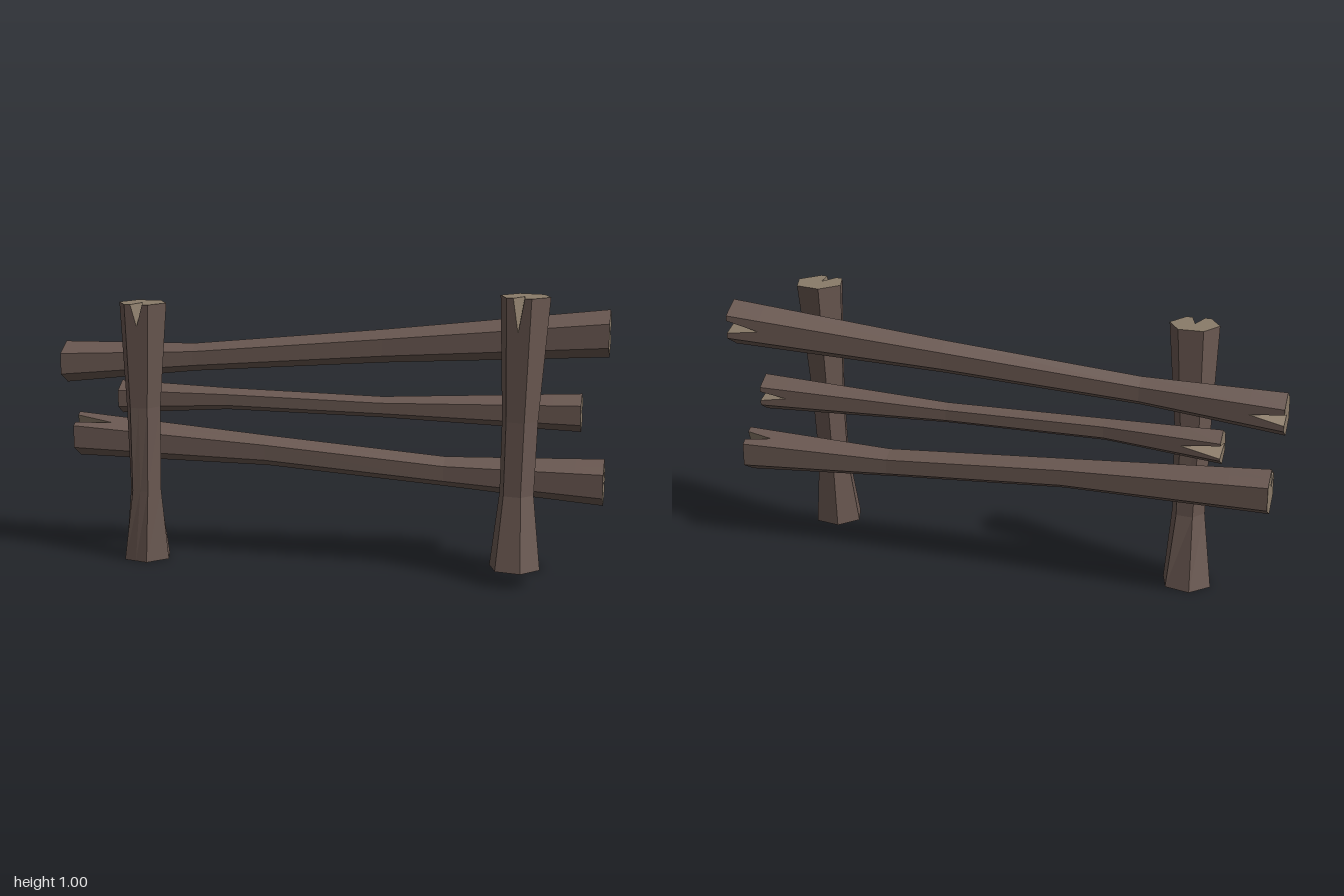
import * as THREE from 'three';

const bark = new THREE.MeshStandardMaterial({ color: 0x6a5851, flatShading: true });
bark.name = 'bark brown';
const cut = new THREE.MeshStandardMaterial({ color: 0x8a7b69, flatShading: true });
cut.name = 'cut wood tan';

const SIDES = 6;

// A hexagonal log with wedge-shaped splits in its ends.
// stations: [x, y, z, radius, phase]; axis: 'x' (rail) or 'y' (post)
// splits: { end: 'start' | 'finish', edge, width, reach, depth }
function makeLog(name, axis, stations, splits) {
  const lerp = (a, b, t) => a.map((v, i) => v + (b[i] - v) * t);
  const along = axis === 'x' ? 0 : 1;
  const rings = stations.slice();
  const last = stations.length - 1;
  // Extra rings where each split closes
  for (const s of splits) {
    const [a, b] = s.end === 'start' ? [stations[0], stations[1]] : [stations[last], stations[last - 1]];
    const ring = lerp(a, b, s.depth / Math.abs(a[along] - b[along]));
    if (s.end === 'start') rings.splice(1, 0, ring);
    else rings.splice(rings.length - 1, 0, ring);
  }
  const top = rings.length - 1;

  // Cross-section points, each marked when it starts a split wall
  const sections = rings.map(([x, y, z, r, phase], k) => {
    const place = (u, v) => axis === 'x'
      ? new THREE.Vector3(x, y + v, z + u) : new THREE.Vector3(x + u, y, z + v);
    const corner = (i) => {
      const t = phase + (i / SIDES) * Math.PI * 2;
      return new THREE.Vector2(Math.cos(t) * r, Math.sin(t) * r);
    };
    const points = [], walls = [];
    let tip = 0;
    const add = (p, wall = false) => { points.push(place(p.x, p.y)); walls.push(wall); };
    for (let i = 0; i < SIDES; i++) {
      const a = corner(i), b = corner(i + 1);
      add(a);
      const here = splits.filter((s) => s.edge === i);
      if (!here.length) continue;
      const open = here.find((s) => k === (s.end === 'start' ? 0 : top));
      const w = open ? open.width / 2 : 0;
      const middle = a.clone().lerp(b, 0.5);
      add(a.clone().lerp(b, 0.5 - w), true);
      if (open) tip = points.length;
      add(middle.clone().multiplyScalar(open ? 1 - open.reach : 1), true);
      add(a.clone().lerp(b, 0.5 + w));
    }
    return { points, walls, tip };
  });

  const barkFaces = [], cutFaces = [];
  const face = (list, a, b, c) => {
    const area = b.clone().sub(a).cross(c.clone().sub(a)).length();
    if (area > 1e-7) for (const p of [a, b, c]) list.push(p.x, p.y, p.z);
  };
  const n = sections[0].points.length;
  // Sides and split walls
  for (let k = 0; k < top; k++) {
    const p = sections[k].points, q = sections[k + 1].points;
    for (let i = 0; i < n; i++) {
      const j = (i + 1) % n;
      const list = sections[k].walls[i] ? cutFaces : barkFaces;
      face(list, p[i], q[i], p[j]);
      face(list, p[j], q[i], q[j]);
    }
  }
  // Sawn ends, fanned from the tip of the split
  for (const [k, flip] of [[0, false], [top, true]]) {
    const { points: p, tip } = sections[k];
    for (let i = 0; i < n; i++) {
      const j = (i + 1) % n;
      face(cutFaces, p[tip], p[flip ? j : i], p[flip ? i : j]);
    }
  }

  const geometry = new THREE.BufferGeometry();
  geometry.setAttribute('position', new THREE.Float32BufferAttribute([...barkFaces, ...cutFaces], 3));
  geometry.addGroup(0, barkFaces.length / 3, 0);
  geometry.addGroup(barkFaces.length / 3, cutFaces.length / 3, 1);
  geometry.computeVertexNormals();
  const mesh = new THREE.Mesh(geometry, [bark, cut]);
  mesh.name = name;
  return mesh;
}

export function createModel() {
  const model = new THREE.Group();
  model.name = 'fence';
  const P = Math.PI / 6;

  model.add(
    // Upright posts, pinched above the foot
    makeLog('rightPost', 'y', [
      [-0.672, 0.005, 0.017, 0.093, 0.25],
      [-0.663, 0.27, 0.045, 0.06, 0.1],
      [-0.664, 0.58, 0.05, 0.064, 0],
      [-0.653, 0.96, 0.067, 0.088, 0],
    ], [{ end: 'finish', edge: 1, width: 0.5, reach: 0.95, depth: 0.08 }]),
    makeLog('leftPost', 'y', [
      [0.698, 0.062, 0.08, 0.092, 0.2],
      [0.697, 0.32, 0.05, 0.062, 0.2],
      [0.702, 0.58, 0.037, 0.065, 0.2],
      [0.71, 1.01, 0.017, 0.09, 0.2],
    ], [{ end: 'finish', edge: 1, width: 0.45, reach: 0.85, depth: 0.12 }]),

    // Leaning rails behind the posts
    makeLog('topRail', 'x', [
      [-1, 0.715, -0.067, 0.077, P],
      [-0.5, 0.748, -0.065, 0.051, P],
      [0.2, 0.808, -0.083, 0.06, P],
      [0.995, 0.873, -0.105, 0.084, P],
    ], [
      { end: 'start', edge: 2, width: 0.5, reach: 0.9, depth: 0.12 },
      { end: 'finish', edge: 2, width: 0.55, reach: 0.9, depth: 0.12 },
    ]),
    makeLog('middleRail', 'x', [
      [-0.795, 0.585, -0.098, 0.062, P],
      [-0.38, 0.596, -0.075, 0.04, P],
      [0.2, 0.59, -0.06, 0.038, P],
      [0.908, 0.597, -0.057, 0.068, P],
    ], [
      { end: 'start', edge: 2, width: 0.75, reach: 1.7, depth: 0.14 },
      { end: 'finish', edge: 2, width: 0.5, reach: 0.9, depth: 0.1 },
    ]),
    makeLog('bottomRail', 'x', [
      [-0.965, 0.438, -0.092, 0.083, P],
      [-0.23, 0.41, -0.068, 0.056, P],
      [0.43, 0.366, -0.052, 0.054, P],
      [0.993, 0.355, -0.04, 0.084, P],
    ], [
      { end: 'start', edge: 0, width: 0.5, reach: 0.9, depth: 0.14 },
      { end: 'finish', edge: 1, width: 0.45, reach: 1.5, depth: 0.1 },
    ]),
  );
  return model;
}
